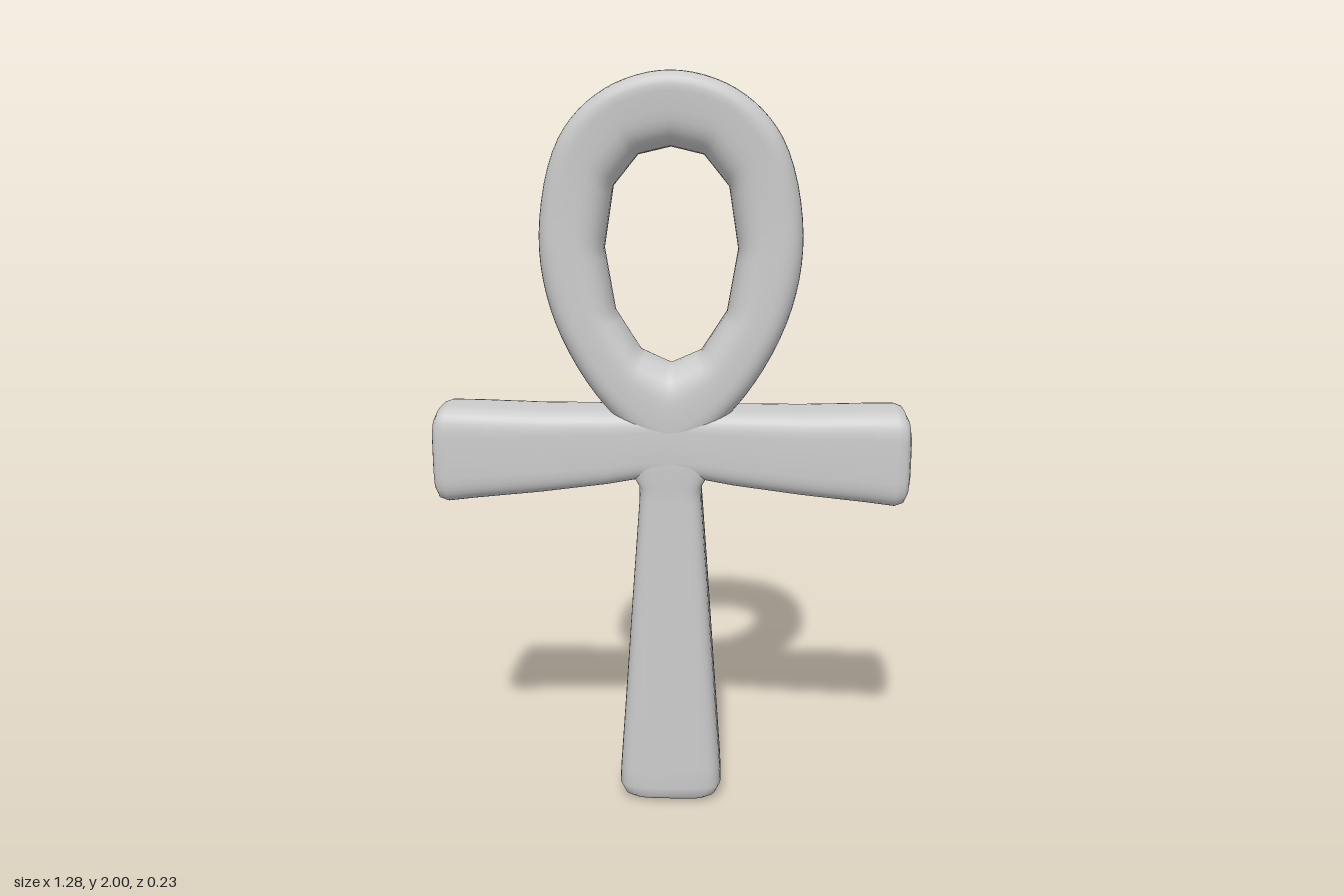
import * as THREE from 'three';

const SIDES = 40;
const v = (x, y, z = 0) => new THREE.Vector3(x, y, z);
const power = (a, e) => Math.sign(a) * Math.abs(a) ** e;

// Rounded-square ring around c; u and w are the half axes.
// flare widens the +u side, inner softens the corners of the -u side.
function ring(c, u, w, e = 0.5, inner = e, flare = 0) {
  const pts = [];
  for (let i = 0; i < SIDES; i++) {
    const a = (i / SIDES) * Math.PI * 2;
    const k = Math.cos(a) < 0 ? inner : e;
    const s = power(Math.cos(a), k);
    const t = power(Math.sin(a), k) * (1 + flare * s);
    pts.push(c.clone().addScaledVector(u, s).addScaledVector(w, t));
  }
  return pts;
}

// Skin over rings; travel runs along u x w. Either closed in a loop or capped.
function loft(name, rings, closed, material) {
  const pos = [], index = [], n = rings.length;
  rings.forEach(r => r.forEach(p => pos.push(p.x, p.y, p.z)));
  for (let j = 0; j < (closed ? n : n - 1); j++) {
    for (let i = 0; i < SIDES; i++) {
      const i2 = (i + 1) % SIDES, j2 = (j + 1) % n;
      const a = j * SIDES + i, b = j * SIDES + i2, c = j2 * SIDES + i2, d = j2 * SIDES + i;
      index.push(a, b, c, a, c, d);
    }
  }
  if (!closed) {
    [0, n - 1].forEach(j => {
      const m = rings[j].reduce((s, p) => s.add(p), v(0, 0)).divideScalar(SIDES);
      const k = pos.length / 3;
      pos.push(m.x, m.y, m.z);
      for (let i = 0; i < SIDES; i++) {
        const a = j * SIDES + i, b = j * SIDES + (i + 1) % SIDES;
        index.push(...(j ? [k, a, b] : [k, b, a]));
      }
    });
  }
  const g = new THREE.BufferGeometry();
  g.setAttribute('position', new THREE.Float32BufferAttribute(pos, 3));
  g.setIndex(index);
  g.computeVertexNormals();
  const mesh = new THREE.Mesh(g, material);
  mesh.name = name;
  return mesh;
}

// Mirror a half outline (top to bottom on +x) into a closed list.
const mirror = half => [...half, ...half.slice(1, -1).reverse().map(([x, y]) => [-x, y])];

export function createModel() {
  const group = new THREE.Group();
  group.name = 'loopedCross';
  const material = new THREE.MeshStandardMaterial({ color: 0xcccccc });

  // Loop: smooth outer outline, faceted opening
  const outer = mirror([[0, 2], [0.165, 1.955], [0.285, 1.835], [0.343, 1.59], [0.305, 1.36], [0.17, 1.13], [0, 1.0]]);
  const inner = mirror([[0, 1.81], [0.085, 1.79], [0.15, 1.71], [0.175, 1.55], [0.147, 1.385], [0.08, 1.28], [0, 1.245]]);
  const curve = new THREE.CatmullRomCurve3(outer.map(p => v(...p)), true);
  const STEPS = 6, count = outer.length * STEPS, loopRings = [];
  for (let k = 0; k < count; k++) {
    const o = curve.getPoint(k / count), j = Math.floor(k / STEPS);
    const i = v(...inner[j]).lerp(v(...inner[(j + 1) % inner.length]), (k % STEPS) / STEPS);
    const top = THREE.MathUtils.smoothstep(o.y, 1.6, 2);
    const mid = o.clone().add(i).multiplyScalar(0.5);
    const half = o.clone().sub(i).multiplyScalar(0.5);
    loopRings.push(ring(mid, half, v(0, 0, 0.1 + 0.008 * top), 0.6 - 0.2 * top, 0.75, 0.1 * top));
  }
  group.add(loft('loop', loopRings, true, material));

  // Crossbar: [x, bottom, top, half depth], flaring to rounded ends
  const arm = [[0, 0.945, 1.13, 0.099], [0.09, 0.937, 1.127, 0.099], [0.17, 0.922, 1.126, 0.099], [0.35, 0.898, 1.126, 0.101],
    [0.52, 0.88, 1.131, 0.102], [0.6, 0.87, 1.132, 0.102], [0.622, 0.878, 1.124, 0.099], [0.634, 0.9, 1.1, 0.085], [0.64, 0.93, 1.07, 0.06]];
  const bar = [...arm.slice(1).reverse().map(([x, ...r]) => [-x, ...r]), ...arm];
  group.add(loft('crossbar', bar.map(([x, b, t, d]) =>
    ring(v(x, (b + t) / 2), v(0, (t - b) / 2), v(0, 0, d), 0.45)), false, material));

  // Stem: [y, half width, half depth], widening to the foot
  const stem = [[0, 0.085, 0.06], [0.006, 0.112, 0.085], [0.018, 0.13, 0.097], [0.045, 0.143, 0.102], [0.1, 0.14, 0.102],
    [0.35, 0.122, 0.099], [0.65, 0.101, 0.096], [0.88, 0.084, 0.094], [0.92, 0.085, 0.095], [0.945, 0.1, 0.097],
    [1.0, 0.12, 0.098], [1.13, 0.12, 0.097], [1.2, 0.1, 0.075]];
  group.add(loft('stem', stem.map(([y, w, d]) =>
    ring(v(0, y), v(0, 0, d), v(w, 0), 0.42)), false, material));

  return group;
}
